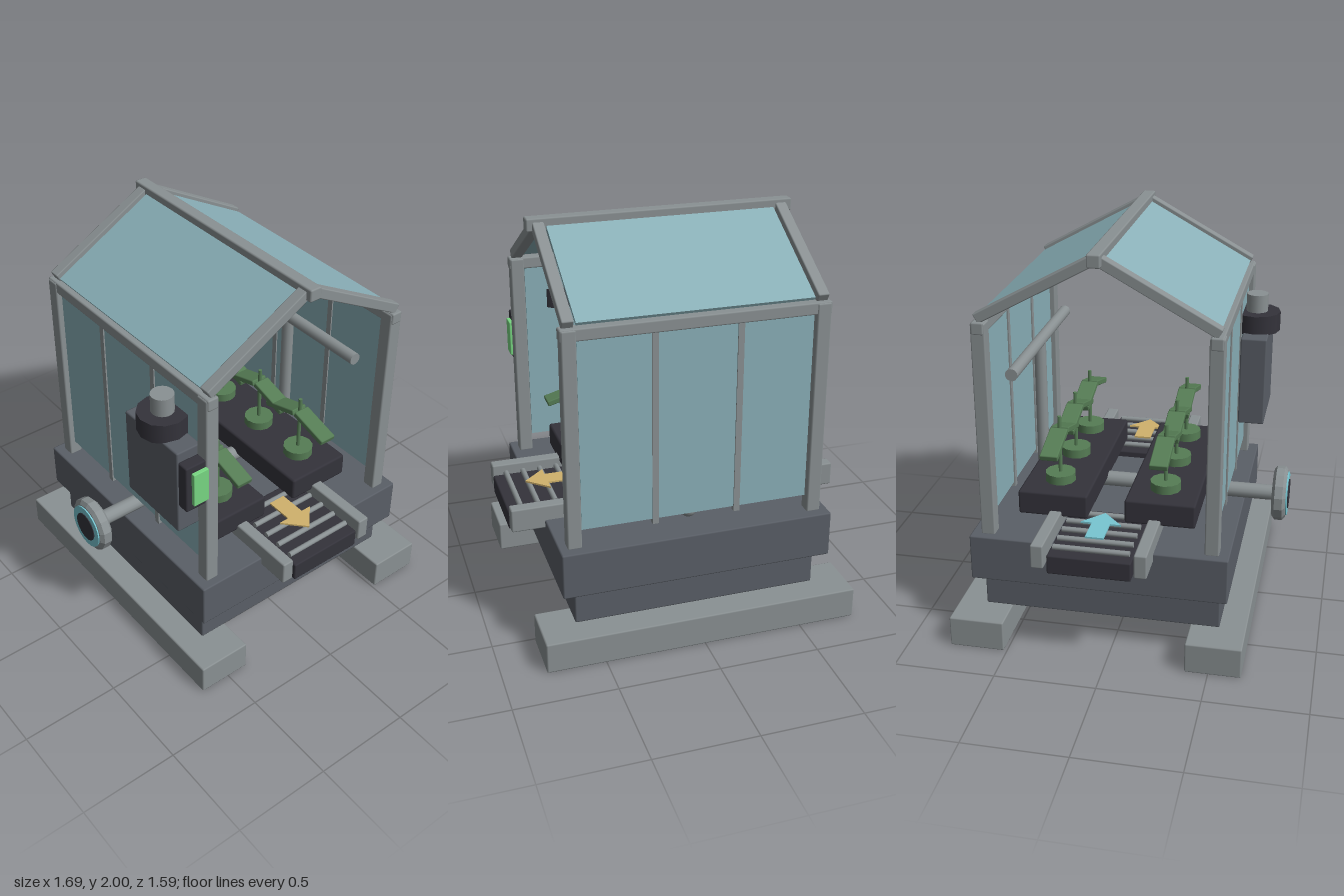
import * as THREE from 'three';
import { RoundedBoxGeometry } from 'three/addons/geometries/RoundedBoxGeometry.js';

const paint = (name, color) => {
  const m = new THREE.MeshStandardMaterial({ color });
  m.name = name;
  return m;
};

export function createModel() {
  const model = new THREE.Group();
  model.name = 'greenhouse';
  const steel = paint('steel grey', 0x8a9193);
  const slate = paint('slate', 0x5a5f67);
  const dark = paint('charcoal', 0x34333b);
  const glass = paint('pale teal glass', 0x8ab0b8);
  const leafGreen = paint('leaf green', 0x567d55);
  const lime = paint('lime', 0x78d682);
  const cyan = paint('cyan', 0x78c6d2);
  const amber = paint('amber', 0xd0b26c);

  const add = (name, geometry, material, x = 0, y = 0, z = 0, parent = model) => {
    const mesh = new THREE.Mesh(geometry, material);
    mesh.name = name;
    mesh.position.set(x, y, z);
    parent.add(mesh);
    return mesh;
  };
  // Box given by its limits on each axis, with softly bevelled edges
  const block = (name, material, x0, x1, y0, y1, z0, z1, bevel = 0.008) => {
    const [w, h, d] = [x1 - x0, y1 - y0, z1 - z0];
    const geometry = bevel ? new RoundedBoxGeometry(w, h, d, 1, bevel) : new THREE.BoxGeometry(w, h, d);
    return add(name, geometry, material, (x0 + x1) / 2, (y0 + y1) / 2, (z0 + z1) / 2);
  };
  const drum = (name, material, r, h, x, y, z, sides = 12, parent = model) =>
    add(name, new THREE.CylinderGeometry(r, r, h, sides), material, x, y, z, parent);

  // Skids and stepped base
  block('frontSkid', steel, -0.79, 0.79, 0, 0.157, 0.385, 0.66);
  block('backSkid', steel, -0.79, 0.79, 0, 0.157, -0.79, -0.515);
  block('lowerBase', slate, -0.615, 0.615, 0.155, 0.335, -0.65, 0.53);
  block('upperBase', slate, -0.68, 0.68, 0.33, 0.565, -0.7, 0.57);

  // Glazed front and back walls
  const midZ = -0.065;
  for (const s of [1, -1]) {
    const z = midZ + s * 0.55;
    for (const x of [-0.605, 0.605])
      block('cornerPost', steel, x - 0.035, x + 0.035, 0.56, 1.645, z - 0.035, z + 0.035);
    block('eaveBeam', steel, -0.645, 0.645, 1.59, 1.65, z - 0.03, z + 0.03);
    block('wallGlass', glass, -0.565, 0.565, 0.645, 1.59, z - 0.008, z + 0.008, 0);
    for (const x of [-0.205, 0.205])
      block('mullion', steel, x - 0.015, x + 0.015, 0.62, 1.6, z - 0.015, z + 0.015, 0);

    // Sloping rafters and roof pane
    const slope = new THREE.Group();
    slope.name = 'roofSlope';
    slope.position.set(0, 1.816, midZ + s * 0.281);
    slope.rotation.x = s * Math.atan2(0.305, 0.555);
    model.add(slope);
    for (const x of [-0.603, 0.603])
      add('rafter', new RoundedBoxGeometry(0.056, 0.05, 0.64, 1, 0.006), steel, x, 0, 0, slope);
    add('roofGlass', new THREE.BoxGeometry(1.13, 0.016, 0.63), glass, 0, 0, 0, slope);
  }
  block('ridgeBeam', steel, -0.66, 0.66, 1.937, 2, midZ - 0.032, midZ + 0.032);

  // Planting beds with three seedlings each
  for (const z of [0.207, -0.328]) {
    block('plantBed', dark, -0.49, 0.49, 0.613, 0.737, z - 0.175, z + 0.175, 0.012);
    for (const x of [-0.32, 0, 0.32]) {
      const plant = new THREE.Group();
      plant.name = 'seedling';
      plant.position.set(x, 0.735, z);
      model.add(plant);
      drum('collar', leafGreen, 0.077, 0.05, 0, 0.022, 0, 12, plant);
      drum('stem', leafGreen, 0.01, 0.32, 0, 0.185, 0, 8, plant);
      for (const s of [1, -1]) {
        const leaf = add('leaf', new RoundedBoxGeometry(0.22, 0.03, 0.09, 1, 0.006), leafGreen, s * 0.11, 0.242, 0, plant);
        leaf.rotation.z = -s * 0.28;
      }
    }
  }

  // Short roller conveyor at each open end
  for (const s of [1, -1]) {
    const span = s > 0 ? [0.36, 0.845] : [-0.845, -0.36];
    block('conveyorBed', dark, ...span, 0.5, 0.597, -0.267, 0.137);
    block('conveyorRail', steel, ...span, 0.522, 0.643, 0.15, 0.212);
    block('conveyorRail', steel, ...span, 0.522, 0.643, -0.345, -0.283);
    for (let i = 0; i < 5; i++) {
      const roller = drum('roller', steel, 0.014, 0.37, s * (0.78 - i * 0.088), 0.612, midZ, 10);
      roller.rotation.x = Math.PI / 2;
    }
  }

  // Flow arrows, both pointing towards +x
  const arrow = new THREE.Shape([
    [0, 0.045], [0.142, 0.045], [0.142, 0.1], [0.25, 0],
    [0.142, -0.1], [0.142, -0.045], [0, -0.045],
  ].map(([x, y]) => new THREE.Vector2(x, y)));
  const arrowPlate = new THREE.ExtrudeGeometry(arrow, { depth: 0.009, bevelEnabled: false });
  arrowPlate.rotateX(-Math.PI / 2);
  add('inflowArrow', arrowPlate, cyan, -0.718, 0.638, midZ);
  add('outflowArrow', arrowPlate, amber, 0.465, 0.638, midZ);

  // Water pipe: under the beds, up the back wall and into a spray bar
  const feed = drum('feedPipe', steel, 0.039, 1.23, 0, 0.605, 0.11, 14);
  feed.rotation.x = Math.PI / 2;
  add('pipeElbow', new THREE.SphereGeometry(0.042, 14, 10), steel, 0, 0.605, -0.507);
  drum('riserPipe', steel, 0.031, 0.75, 0, 0.98, -0.507, 14);
  const bar = drum('sprayBar', steel, 0.031, 1, 0, 1.35, -0.507, 14);
  bar.rotation.z = Math.PI / 2;

  // Valve wheel with coloured face
  const wheel = new THREE.Group();
  wheel.name = 'valveWheel';
  wheel.position.set(0, 0.607, 0.75);
  wheel.rotation.x = Math.PI / 2;
  model.add(wheel);
  const rim = [[0, -0.035], [0.12, -0.035], [0.14, -0.02], [0.14, 0.02], [0.12, 0.035], [0, 0.035]];
  const rimGeometry = new THREE.LatheGeometry(rim.map(([r, y]) => new THREE.Vector2(r, y)), 14).toNonIndexed();
  rimGeometry.computeVertexNormals();
  add('wheelRim', rimGeometry, steel, 0, 0, 0, wheel);
  drum('wheelFace', cyan, 0.113, 0.008, 0, 0.038, 0, 20, wheel);
  drum('wheelHub', dark, 0.076, 0.006, 0, 0.043, 0, 20, wheel);

  // Control cabinet with vent and side display
  block('controlCabinet', slate, 0.172, 0.572, 0.905, 1.37, 0.5, 0.633);
  drum('ventCollar', dark, 0.122, 0.1, 0.37, 1.413, 0.56);
  drum('ventStack', steel, 0.056, 0.1, 0.37, 1.505, 0.56, 14);
  block('displayHousing', dark, 0.57, 0.633, 1.065, 1.32, 0.515, 0.628);
  block('displayScreen', lime, 0.628, 0.652, 1.1, 1.283, 0.515, 0.598, 0.004);

  return model;
}
